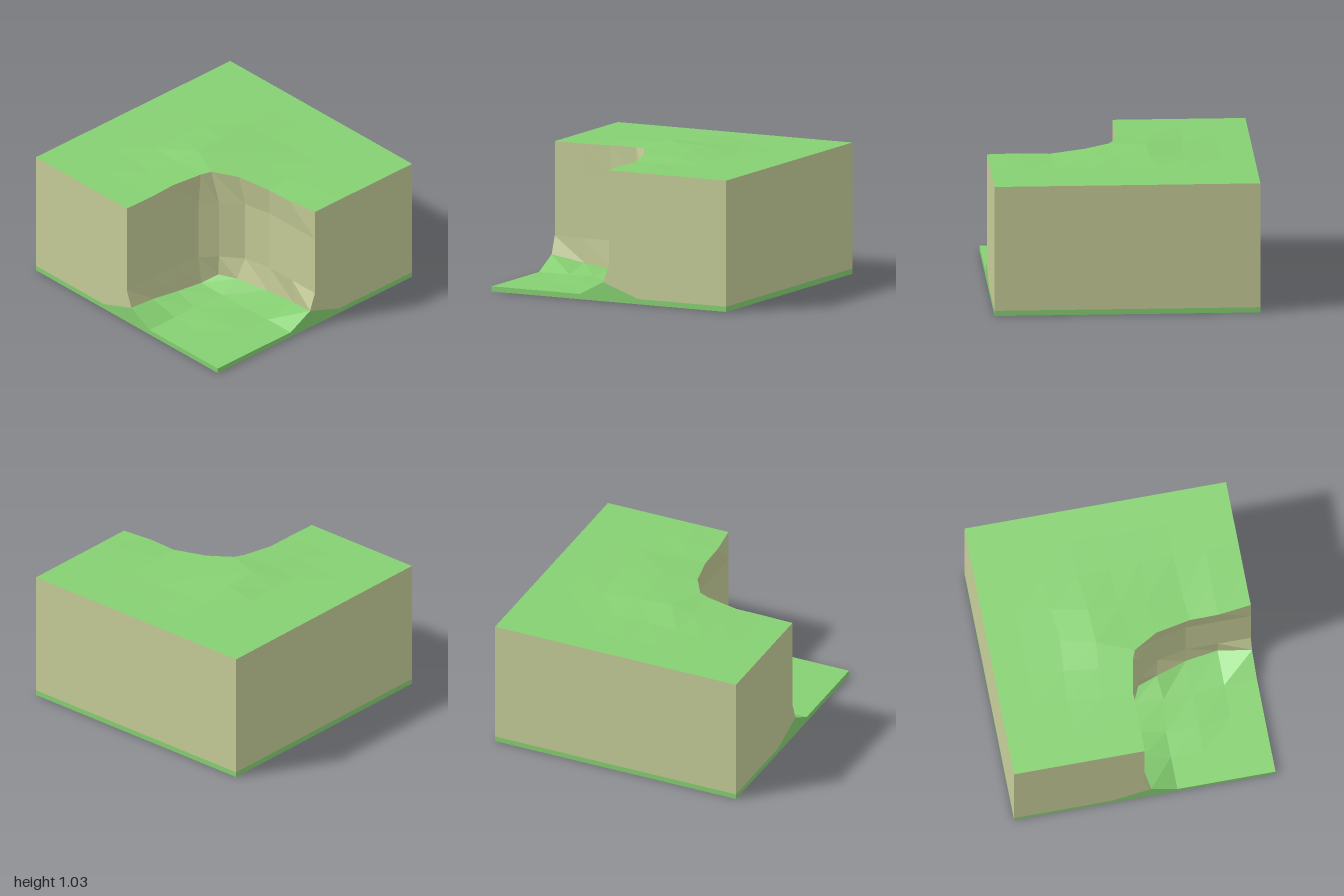
import * as THREE from 'three';

const GRASS = 0x86d072, CLIFF = 0xc6cd98;
const N = 8, MID = 4;

// Cliff line from the front edge, round the inner corner, to the right edge
const RIM = [[0, 1, 1], [0.005, 0.75, 1], [0, 0.53, 1.005], [0.045, 0.28, 1.015], [0.075, 0.2, 1.02],
  [0.26, 0.09, 1.01], [0.53, 0.03, 0.99], [0.75, 0.03, 0.997], [1, 0, 1]];
const FACE = [[0, 1], [0, 0.75], [0, 0.52], [0.03, 0.29], [0.125, 0.17],
  [0.28, 0.045], [0.5, 0], [0.75, 0], [1, 0]];
const FOOT = [[0.05, 1, 0.145], [0.01, 0.74, 0.095], [0.02, 0.5, 0.065], [0.05, 0.28, 0.06], [0.11, 0.16, 0.11],
  [0.26, 0.11, 0.12], [0.5, 0.02, 0.085], [0.75, -0.02, 0.075], [1, 0.05, 0.145]];

// Gentle mounds on the plateau, by grid corner: x, y, z
const MOUNDS = {
  '3,4': [-0.2, 1.035, 0.09], '3,3': [-0.21, 1.025, -0.18], '4,3': [0.03, 1.02, -0.17],
  '5,3': [0.23, 1.012, -0.17], '6,3': [0.51, 0.995, -0.15], '2,4': [-0.46, 1.006, 0.02],
  '2,3': [-0.48, 1.006, -0.24], '3,5': [-0.22, 1.015, 0.29], '2,5': [-0.48, 1.004, 0.26],
  '3,6': [-0.24, 1.005, 0.52], '4,2': [0, 1.004, -0.48], '3,2': [-0.24, 1.006, -0.46],
  '7,3': [0.74, 1.004, -0.23], '5,2': [0.25, 1.003, -0.5],
};
// Dips and rises of the lower ground
const HOLLOWS = { '5,5': [0.28, 0.055, 0.28], '6,5': [0.5, 0.045, 0.27], '7,5': [0.75, 0.04, 0.25],
  '5,6': [0.25, 0.045, 0.54], '6,6': [0.5, 0.05, 0.55], '5,7': [0.25, 0.04, 0.74] };

// Faceted surface through a grid of points, leaving out cells that fail the test
function surface(point, ni, nj, keep = () => true) {
  const pos = [];
  for (let i = 0; i < ni; i++) for (let j = 0; j < nj; j++) {
    if (!keep(i, j)) continue;
    const a = point(i, j), b = point(i, j + 1), c = point(i + 1, j + 1), d = point(i + 1, j);
    pos.push(...a, ...b, ...d, ...b, ...c, ...d);
  }
  const g = new THREE.BufferGeometry();
  g.setAttribute('position', new THREE.Float32BufferAttribute(pos, 3));
  g.computeVertexNormals();
  return g;
}

// Flat side panel; mirror before turning it to face +x
function panel(points, turn, mirror = 1) {
  const shape = new THREE.Shape(points.map(([x, y]) => new THREE.Vector2(x * mirror, y)));
  return new THREE.ShapeGeometry(shape).translate(0, 0, 1).rotateY(turn);
}

export function createModel() {
  const model = new THREE.Group();
  model.name = 'cliffCornerTile';
  const grass = new THREE.MeshStandardMaterial({ color: GRASS, flatShading: true });
  const cliff = new THREE.MeshStandardMaterial({ color: CLIFF, flatShading: true });
  const add = (name, geometry, material) => {
    const mesh = new THREE.Mesh(geometry, material);
    mesh.name = name;
    model.add(mesh);
  };

  const inQuadrant = (i, j) => i >= MID && j >= MID;
  // Index along the cliff line, or -1 away from it
  const lineIndex = (i, j) => !inQuadrant(i, j) ? -1 : i === MID ? N - j : j === MID ? i : -1;
  const ground = (line, level, bumps) => (i, j) => {
    const k = lineIndex(i, j);
    if (k >= 0) return [line[k][0], line[k][2], line[k][1]];
    return bumps[`${i},${j}`] || [i / 4 - 1, level, j / 4 - 1];
  };

  // Grass on the plateau and in the hollow
  add('plateauGrass', surface(ground(RIM, 1, MOUNDS), N, N, (i, j) => !inQuadrant(i, j)), grass);
  add('lowerGrass', surface(ground(FOOT, 0.04, HOLLOWS), N, N, inQuadrant), grass);

  // Rock wall round the inner corner
  const wallPoint = (row, k) => {
    if (row === 0) return [FOOT[k][0], FOOT[k][2], FOOT[k][1]];
    if (row === 4) return [RIM[k][0], RIM[k][2], RIM[k][1]];
    return [FACE[k][0], 0.04 + row * 0.24, FACE[k][1]];
  };
  add('innerCliff', surface(wallPoint, 4, N), cliff);

  // Cut sides: notched on the front and right, plain on the back and left
  const rockCut = [[-1, 0.04], [-0.25, 0.04], [0.05, 0.145], [0, 0.28], [0, 1], [-1, 1]];
  const grassCut = [[-1, 0], [1, 0], [1, 0.04], [0.25, 0.04], [0.05, 0.145], [-0.25, 0.04], [-1, 0.04]];
  const rockFull = [[-1, 0.04], [1, 0.04], [1, 1], [-1, 1]];
  const grassFull = [[-1, 0], [1, 0], [1, 0.04], [-1, 0.04]];
  const sides = [['front', rockCut, grassCut, 0, 1], ['right', rockCut, grassCut, Math.PI / 2, -1],
    ['back', rockFull, grassFull, Math.PI, 1], ['left', rockFull, grassFull, -Math.PI / 2, 1]];
  for (const [name, rock, turf, turn, mirror] of sides) {
    // Named by the model's own left and right
    const own = { right: 'left', left: 'right' }[name] || name;
    add(`${own}Cliff`, panel(rock, turn, mirror), cliff);
    add(`${own}GrassBase`, panel(turf, turn, mirror), grass);
  }

  // Underside
  add('underside', new THREE.PlaneGeometry(2, 2).rotateX(Math.PI / 2), grass);
  return model;
}
